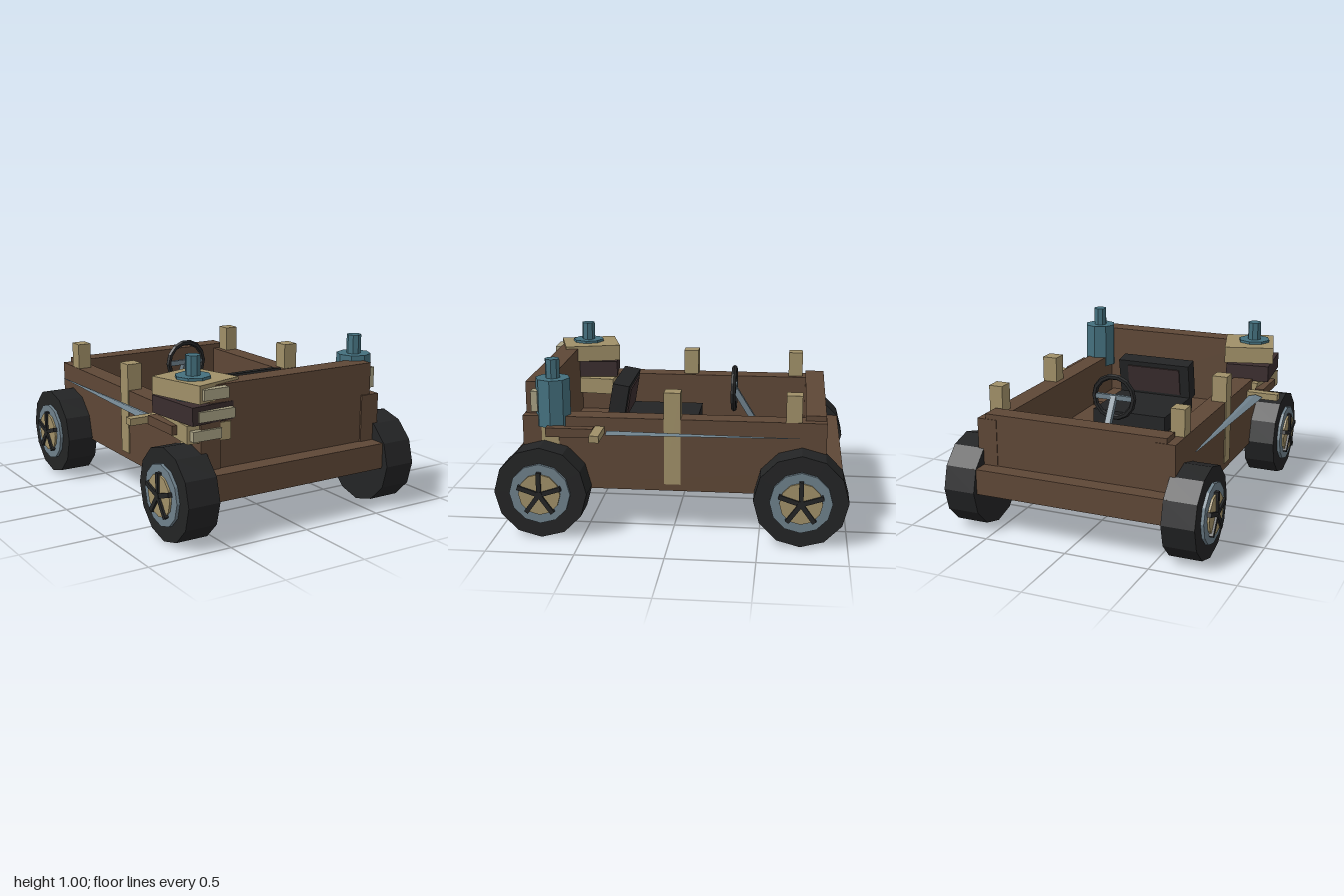
import * as THREE from 'three';

const mat = (name, color) => {
  const m = new THREE.MeshStandardMaterial({ color, flatShading: true });
  m.name = name;
  return m;
};

export function createModel() {
  const wood = mat('brown wood', 0x5e4736);
  const tan = mat('pale timber', 0xa09068);
  const teal = mat('teal glass', 0x44707e);
  const steel = mat('blue steel', 0x6e808b);
  const black = mat('black rubber', 0x232425);
  const dark = mat('dark leather', 0x3a2d2e);
  const label = mat('paper label', 0xa7a083);
  const root = new THREE.Group();

  const add = (name, geo, material, x = 0, y = 0, z = 0, parent = root) => {
    const m = new THREE.Mesh(geo, material);
    m.name = name;
    m.position.set(x, y, z);
    parent.add(m);
    return m;
  };
  // Box given by its limits on each axis
  const box = (name, material, x0, x1, y0, y1, z0, z1, parent) =>
    add(name, new THREE.BoxGeometry(x1 - x0, y1 - y0, z1 - z0), material,
      (x0 + x1) / 2, (y0 + y1) / 2, (z0 + z1) / 2, parent);

  // Open wooden body
  box('chassis', wood, -0.6, 0.6, 0.25, 0.4, -0.965, 0.955);
  box('tallEndWall', wood, -0.545, 0.545, 0.4, 0.86, 0.725, 0.85);
  box('lowEndWall', wood, -0.55, 0.55, 0.4, 0.705, -0.866, -0.75);
  for (let i = -2; i <= 2; i++)
    box('floorPlank', wood, i * 0.195 - 0.08, i * 0.195 + 0.08, 0.4, 0.43, 0.4, 0.725);

  for (const s of [-1, 1]) {
    const side = (name, m, x0, x1, ...r) =>
      box(name, m, Math.min(s * x0, s * x1), Math.max(s * x0, s * x1), ...r);
    side('sideWall', wood, 0.48, 0.6, 0.4, 0.675, -0.87, 0.86);

    // Upright posts
    side('rearPost', tan, 0.515, 0.598, 0.4, 0.83, -0.73, -0.64);
    side('middlePost', tan, 0.515, 0.606, 0.29, 0.83, -0.047, 0.047);
    side('frontPost', tan, 0.515, 0.606, 0.29, 0.83, 0.65, 0.75);

    // Sword hung along the side
    const blade = new THREE.CylinderGeometry(0.004, 0.045, 1.095, 4);
    blade.rotateX(-Math.PI / 2).scale(1, 0.3, 1);
    add('blade', blade, steel, s * 0.663, 0.603, -0.182);
    side('crossGuard', tan, 0.6, 0.797, 0.583, 0.623, 0.387, 0.442);
    side('grip', wood, 0.635, 0.69, 0.578, 0.63, 0.442, 0.71);

    // Bottle with a neck
    add('bottle', new THREE.CylinderGeometry(0.1, 0.1, 0.275, 8), teal, s * 0.547, 0.7525, 0.69);
    add('bottleNeck', new THREE.CylinderGeometry(0.042, 0.042, 0.11, 8), teal, s * 0.547, 0.945, 0.69);

    // Wheels, built along the x axis
    for (const z of [-0.735, 0.735]) {
      const wheel = new THREE.Group();
      wheel.name = 'wheel';
      wheel.position.set(0, 0.266, z);
      root.add(wheel);
      const disc = (name, m, r, x0, x1, n) => {
        const g = new THREE.CylinderGeometry(r, r, x1 - x0, n).rotateZ(Math.PI / 2);
        add(name, g, m, s * (x0 + x1) / 2, 0, 0, wheel);
      };
      disc('tyre', black, 0.266, 0.568, 0.76, 12);
      disc('rim', steel, 0.175, 0.74, 0.778, 12);
      disc('wheelDisc', tan, 0.12, 0.75, 0.79, 12);
      disc('hub', black, 0.022, 0.75, 0.804, 8);
      for (let k = 0; k < 5; k++) {
        const g = new THREE.BoxGeometry(0.03, 0.13, 0.026).translate(0, 0.065, 0);
        add('spoke', g, black, s * 0.787, 0, 0, wheel).rotation.x = k * Math.PI * 0.4;
      }
    }
  }
  box('bottleLabel', label, 0.545, 0.607, 0.7, 0.82, 0.77, 0.808);

  // Stack of cargo blocks, each turned a little, with labels on the end
  const cargo = (m, x, y, z, w, d, turn) =>
    add('cargoBlock', new THREE.BoxGeometry(w, 0.1, d), m, x, y, z).rotation.y = turn;
  cargo(tan, -0.525, 0.605, 0.67, 0.26, 0.36, -0.1);
  cargo(dark, -0.545, 0.712, 0.68, 0.27, 0.37, 0.1);
  cargo(tan, -0.522, 0.825, 0.672, 0.305, 0.35, 0.28);
  box('cargoLabel', label, -0.655, -0.48, 0.573, 0.63, 0.83, 0.875);
  box('cargoLabel', label, -0.625, -0.405, 0.678, 0.735, 0.845, 0.888);
  box('cargoLabel', label, -0.6, -0.445, 0.793, 0.853, 0.84, 0.893);

  // Seat
  box('seatCushion', black, -0.237, 0.237, 0.45, 0.55, -0.1, 0.38);
  box('seatBase', black, -0.2, 0.2, 0.4, 0.45, -0.06, 0.36);
  const back = new THREE.Group();
  back.name = 'seatBack';
  back.position.set(0, 0.655, 0.368);
  back.rotation.x = -0.17;
  root.add(back);
  box('backFrame', black, -0.237, 0.237, -0.12, 0.12, -0.05, 0.05, back);
  box('backPad', dark, -0.175, 0.175, -0.08, 0.09, -0.058, -0.049, back);

  // Steering wheel and column
  add('steeringWheel', new THREE.TorusGeometry(0.125, 0.017, 6, 14), black, 0, 0.713, -0.315);
  box('steeringCrossbar', steel, -0.115, 0.115, 0.698, 0.728, -0.327, -0.305);
  const from = new THREE.Vector3(0, 0.715, -0.315), to = new THREE.Vector3(0, 0.4, -0.51);
  const column = add('steeringColumn', new THREE.BoxGeometry(0.034, from.distanceTo(to), 0.034), steel);
  column.position.copy(from).add(to).multiplyScalar(0.5);
  column.quaternion.setFromUnitVectors(new THREE.Vector3(0, 1, 0), from.clone().sub(to).normalize());

  return root;
}
